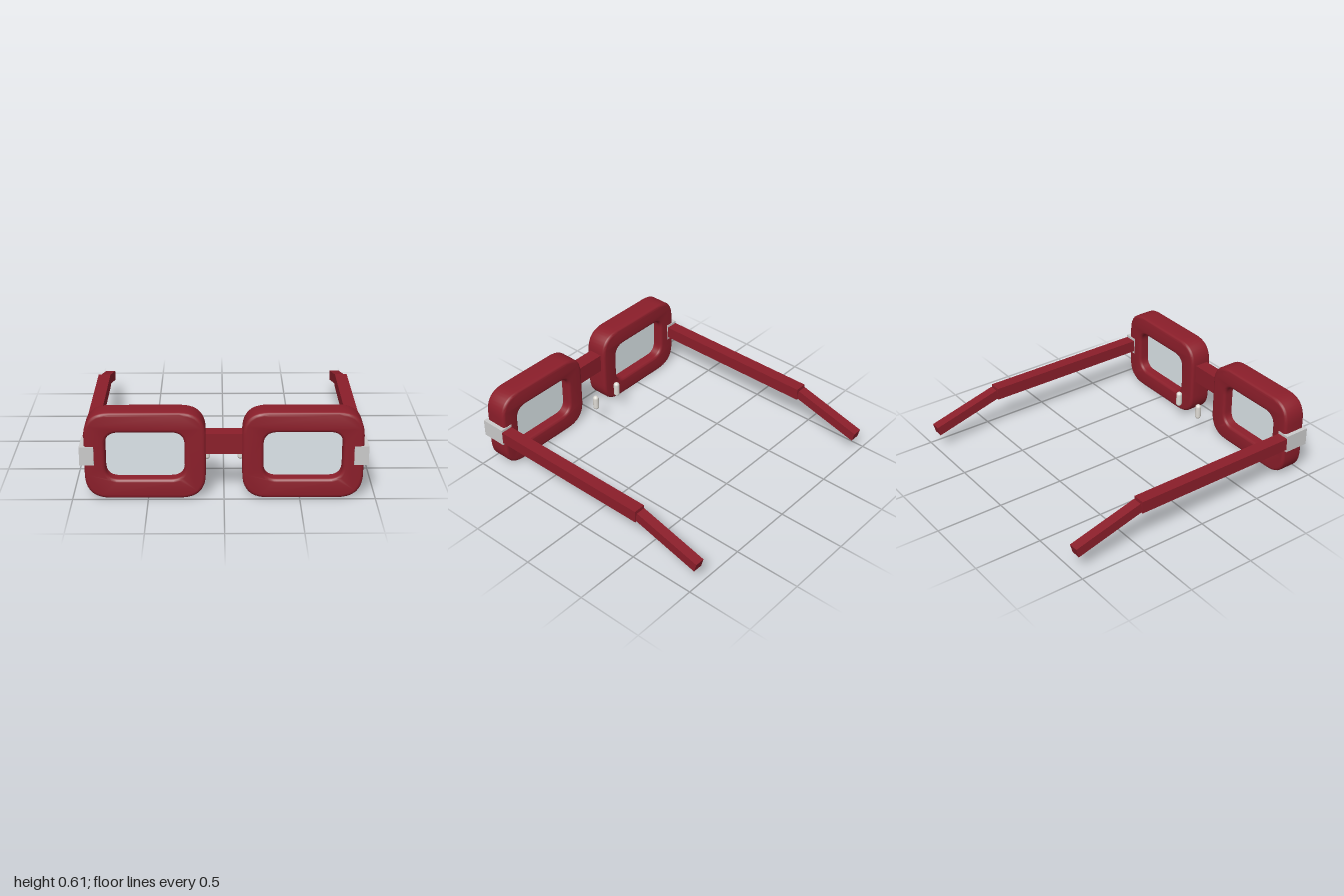
import * as THREE from 'three';
import { toCreasedNormals } from 'three/addons/utils/BufferGeometryUtils.js';

const mat = (color) => new THREE.MeshStandardMaterial({ color });

// Rounded rectangle centred on (cx, cy)
function roundedRect(Path, cx, cy, w, h, r) {
  const x0 = cx - w / 2, x1 = cx + w / 2, y0 = cy - h / 2, y1 = cy + h / 2;
  const p = new Path();
  p.moveTo(x0 + r, y0);
  p.lineTo(x1 - r, y0);
  p.quadraticCurveTo(x1, y0, x1, y0 + r);
  p.lineTo(x1, y1 - r);
  p.quadraticCurveTo(x1, y1, x1 - r, y1);
  p.lineTo(x0 + r, y1);
  p.quadraticCurveTo(x0, y1, x0, y1 - r);
  p.lineTo(x0, y0 + r);
  p.quadraticCurveTo(x0, y0, x0 + r, y0);
  return p;
}

export function createModel() {
  const model = new THREE.Group();
  model.name = 'glasses';
  const red = mat(0x8b1e2a), metal = mat(0xcccccc), glass = mat(0xdde6ea), pad = mat(0xdedbd5);

  function add(name, geometry, material, x, y, z) {
    const mesh = new THREE.Mesh(geometry, material);
    mesh.name = name;
    mesh.position.set(x, y, z);
    model.add(mesh);
    return mesh;
  }

  // Rim: thick rounded frame with a softened edge
  const bevel = 0.022, depth = 0.175;
  const rimShape = roundedRect(THREE.Shape, 0, 0, 0.796, 0.605, 0.17);
  rimShape.holes.push(roundedRect(THREE.Path, 0, -0.001, 0.52, 0.328, 0.09));
  const rimGeometry = toCreasedNormals(new THREE.ExtrudeGeometry(rimShape, {
    depth: depth - 2 * bevel, bevelEnabled: true, bevelSize: bevel, bevelThickness: bevel,
    bevelOffset: -bevel, bevelSegments: 4, curveSegments: 10,
  }).translate(0, 0, bevel - depth / 2), 0.6);

  // Lens: thin pane set in the middle of the rim
  const lensGeometry = new THREE.ExtrudeGeometry(
    roundedRect(THREE.Shape, 0, 0, 0.54, 0.348, 0.09),
    { depth: 0.02, bevelEnabled: false, curveSegments: 10 }).translate(0, 0, -0.01);

  for (const [side, s] of [['left', 1], ['right', -1]]) {
    add(side + 'Rim', rimGeometry, red, s * 0.518, 0.3025, 0.902);
    add(side + 'Lens', lensGeometry, glass, s * 0.518, 0.3025, 0.902);
    add(side + 'Hinge', new THREE.BoxGeometry(0.095, 0.13, 0.188), metal, s * 0.899, 0.307, 0.903);
    add(side + 'Arm', new THREE.BoxGeometry(0.09, 0.092, 1.3), red, s * 0.9, 0.307, 0.175);
    // Ear tip slopes down behind the arm
    const tip = add(side + 'EarTip', new THREE.BoxGeometry(0.072, 0.072, 0.535), red, s * 0.9, 0.233, -0.733);
    tip.rotation.x = -0.27;
    add(side + 'NosePad', new THREE.CapsuleGeometry(0.022, 0.076, 6, 16), pad, s * 0.114, 0.215, 0.685);
  }

  add('bridge', new THREE.BoxGeometry(0.26, 0.14, 0.105), red, 0, 0.376, 0.902);
  return model;
}
